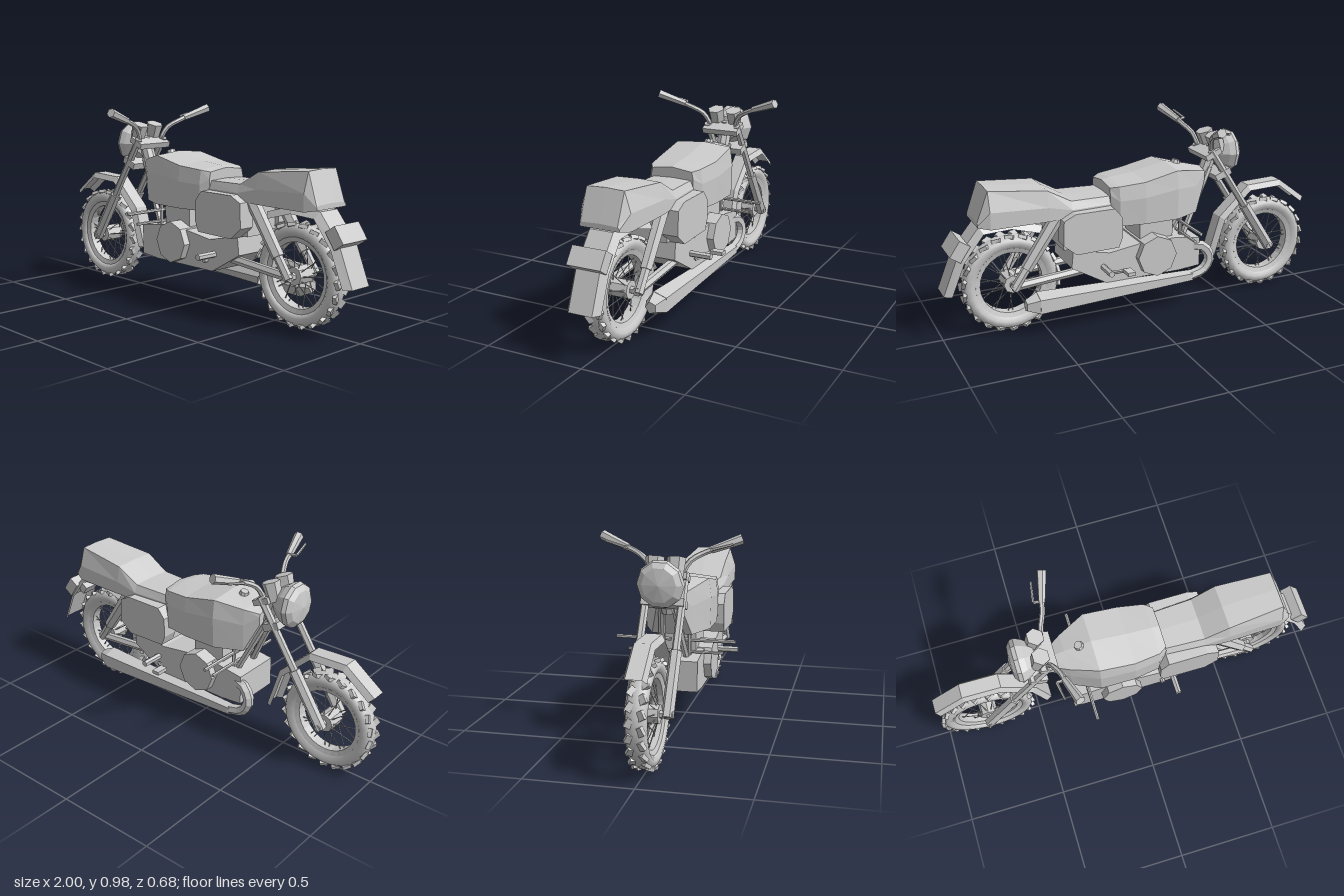
import * as THREE from 'three';

const V = (x, y, z) => new THREE.Vector3(x, y, z);
const flat = new THREE.MeshStandardMaterial({ color: 0xcccccc, flatShading: true });
const thin = new THREE.MeshStandardMaterial({ color: 0xcccccc, flatShading: true, side: THREE.DoubleSide });
const smooth = new THREE.MeshStandardMaterial({ color: 0xcccccc });

function add(parent, name, geo, mat = flat) {
  const m = new THREE.Mesh(geo, mat);
  m.name = name;
  parent.add(m);
  return m;
}

// Straight bar between two points
function rod(parent, name, a, b, r1, r2 = r1, sides = 6) {
  const m = add(parent, name, new THREE.CylinderGeometry(r2, r1, a.distanceTo(b), sides));
  m.position.copy(a).lerp(b, 0.5);
  m.quaternion.setFromUnitVectors(V(0, 1, 0), b.clone().sub(a).normalize());
  return m;
}

function box(parent, name, x, y, z, w, h, d, tilt = 0) {
  const m = add(parent, name, new THREE.BoxGeometry(w, h, d));
  m.position.set(x, y, z);
  m.rotation.z = tilt;
  return m;
}

// Side outline [x, y] extruded from z0 to z1
function slab(parent, name, pts, z0, z1) {
  const g = new THREE.ExtrudeGeometry(new THREE.Shape(pts.map(p => new THREE.Vector2(...p))),
    { depth: z1 - z0, bevelEnabled: false });
  return add(parent, name, g.translate(0, 0, z0));
}

// Symmetric skin over sections along x; each is { x, half: [[z, y], ...] } from top to bottom
function loft(parent, name, sections) {
  const pos = [], idx = [];
  const loops = sections.map(s => [...s.half, ...s.half.slice(1, -1).reverse().map(([z, y]) => [-z, y])]
    .map(([z, y]) => [s.x, y, z]));
  const n = loops[0].length;
  loops.forEach(l => l.forEach(p => pos.push(...p)));
  for (let i = 0; i < loops.length - 1; i++) for (let j = 0; j < n; j++) {
    const a = i * n + j, b = i * n + (j + 1) % n;
    idx.push(a, b, b + n, a, b + n, a + n);
  }
  const e = (loops.length - 1) * n;
  for (let j = 1; j < n - 1; j++) idx.push(0, j + 1, j, e, e + j, e + j + 1);
  const g = new THREE.BufferGeometry();
  g.setAttribute('position', new THREE.Float32BufferAttribute(pos, 3));
  g.setIndex(idx);
  g.computeVertexNormals();
  return add(parent, name, g);
}

// Channel-shaped mudguard along a path of [x, y], skirts dropping towards the wheel centre
function mudguard(parent, name, path, w, drop, cx, cy) {
  const pos = [], idx = [];
  path.forEach(([x, y]) => {
    const l = Math.hypot(cx - x, cy - y), dx = (cx - x) / l * drop, dy = (cy - y) / l * drop;
    pos.push(x + dx, y + dy, w, x, y, w * 0.7, x, y, -w * 0.7, x + dx, y + dy, -w);
  });
  for (let i = 0; i < path.length - 1; i++) for (let j = 0; j < 3; j++) {
    const a = i * 4 + j;
    idx.push(a, a + 4, a + 5, a, a + 5, a + 1);
  }
  const g = new THREE.BufferGeometry();
  g.setAttribute('position', new THREE.Float32BufferAttribute(pos, 3));
  g.setIndex(idx);
  g.computeVertexNormals();
  add(parent, name, g, thin);
}

function wheel(name, x) {
  const w = new THREE.Group();
  w.name = name;
  w.position.set(x, 0.247, 0);
  const lathe = (n, pts, mat) => add(w, n, new THREE.LatheGeometry(pts.map(p => new THREE.Vector2(...p)), 28)
    .rotateX(Math.PI / 2), mat);
  lathe('tyre', [[0.178, -0.032], [0.2, -0.046], [0.222, -0.044], [0.236, -0.028], [0.241, 0],
    [0.236, 0.028], [0.222, 0.044], [0.2, 0.046], [0.178, 0.032], [0.178, -0.032]], smooth);
  lathe('rim', [[0.156, -0.026], [0.18, -0.034], [0.18, 0.034], [0.156, 0.026], [0.156, -0.026]], flat);
  // Slanted tread blocks and spokes
  for (let i = 0; i < 22; i++) for (const s of [1, -1]) {
    const a = (i + (s > 0 ? 0 : 0.5)) / 22 * Math.PI * 2;
    const arm = new THREE.Group();
    arm.name = 'treadArm';
    arm.rotation.z = a;
    w.add(arm);
    const block = box(arm, 'treadBlock', 0.233, 0, s * 0.025, 0.018, 0.04, 0.034);
    block.rotation.set(s * 0.5, s * 0.4, 0);
    if (i % 2 === 0)
      rod(w, 'spoke', V(Math.cos(a) * 0.03, Math.sin(a) * 0.03, s * 0.04),
        V(Math.cos(a + 0.1) * 0.16, Math.sin(a + 0.1) * 0.16, 0), 0.0025, 0.0025, 4);
  }
  rod(w, 'hub', V(0, 0, -0.05), V(0, 0, 0.05), 0.045, 0.045, 8);
  rod(w, 'axle', V(0, 0, -0.11), V(0, 0, 0.11), 0.018);
  return w;
}

export function createModel() {
  const bike = new THREE.Group();
  bike.name = 'motorcycle';
  bike.add(wheel('frontWheel', -0.757), wheel('rearWheel', 0.655));

  // Mudguards and tail lamp
  mudguard(bike, 'frontMudguard', [[-1, 0.47], [-0.845, 0.585], [-0.65, 0.578], [-0.485, 0.425], [-0.42, 0.215]],
    0.052, 0.03, -0.757, 0.247);
  mudguard(bike, 'rearMudguard', [[0.5, 0.53], [0.66, 0.575], [0.81, 0.565], [0.92, 0.43], [0.995, 0.245]],
    0.085, 0.035, 0.655, 0.247);
  box(bike, 'tailLamp', 0.91, 0.465, 0, 0.06, 0.09, 0.17, 0.6);
  box(bike, 'lampBracket', 0.87, 0.46, 0, 0.06, 0.05, 0.08, 0.6);

  // Fuel tank: [x, top, bottom, half width]
  loft(bike, 'fuelTank', [[-0.375, 0.71, 0.64, 0.06], [-0.31, 0.727, 0.495, 0.1], [-0.175, 0.757, 0.495, 0.163],
    [0, 0.72, 0.495, 0.165], [0.13, 0.708, 0.495, 0.145], [0.17, 0.7, 0.58, 0.115]].map(([x, t, b, w]) => ({
    x, half: [[0, t], [w * 0.93, t - 0.014], [w, t - (t - b) * 0.4], [w * 0.97, b], [0, b]] })));
  rod(bike, 'fuelCap', V(-0.235, 0.74, 0), V(-0.24, 0.757, 0), 0.025, 0.02, 8);

  // Seat: [x, top, bottom, half width at top, half width at bottom]
  loft(bike, 'seat', [[0.16, 0.648, 0.575, 0.1, 0.115], [0.37, 0.652, 0.572, 0.11, 0.128], [0.49, 0.72, 0.568, 0.115, 0.132],
    [0.77, 0.747, 0.565, 0.095, 0.125], [0.825, 0.6, 0.575, 0.09, 0.1]].map(([x, t, b, wt, wb]) => ({
    x, half: [[0, t], [wt, t - 0.004], [wb, t - (t - b) * 0.55], [wb, b], [0, b]] })));

  // Engine
  slab(bike, 'crankcase', [[-0.32, 0.215], [-0.2, 0.205], [0.2, 0.205], [0.38, 0.31], [0.37, 0.4], [0.18, 0.36],
    [0, 0.385], [-0.18, 0.385], [-0.32, 0.365]], -0.125, 0.125);
  box(bike, 'cylinderBlock', -0.09, 0.44, 0, 0.18, 0.16, 0.18);
  box(bike, 'battery', 0.28, 0.5, 0, 0.26, 0.2, 0.2);
  rod(bike, 'engineCover', V(-0.065, 0.315, -0.162), V(-0.065, 0.315, 0.162), 0.105, 0.105, 8);

  // Exhaust on the right side
  const bend = new THREE.CatmullRomCurve3([V(-0.28, 0.32, -0.1), V(-0.345, 0.31, -0.12), V(-0.375, 0.25, -0.13),
    V(-0.34, 0.19, -0.13), V(-0.26, 0.165, -0.13)]);
  add(bike, 'exhaustHeader', new THREE.TubeGeometry(bend, 10, 0.027, 6));
  rod(bike, 'silencer', V(-0.27, 0.165, -0.13), V(0.56, 0.16, -0.13), 0.03, 0.06, 5);
  rod(bike, 'silencerTip', V(0.56, 0.16, -0.13), V(0.62, 0.16, -0.13), 0.058, 0.03, 5);

  // Steering column, lamp and yokes
  rod(bike, 'steeringHead', V(-0.38, 0.62, 0), V(-0.45, 0.8, 0), 0.035, 0.035, 8);
  box(bike, 'lowerYoke', -0.465, 0.675, 0, 0.09, 0.035, 0.2, -0.4);
  box(bike, 'upperYoke', -0.405, 0.785, 0, 0.09, 0.03, 0.2, -0.4);
  const lamp = add(bike, 'headlamp', new THREE.LatheGeometry([[0, -0.085], [0.065, -0.07], [0.1, -0.02], [0.112, 0.01],
    [0.105, 0.03], [0.08, 0.048], [0, 0.06]].map(p => new THREE.Vector2(...p)), 10));
  lamp.rotation.z = Math.PI / 2;
  lamp.position.set(-0.52, 0.775, 0);

  // Paired parts on the left (+z) and right (-z)
  for (const s of [1, -1]) {
    const side = new THREE.Group();
    side.name = s > 0 ? 'leftSide' : 'rightSide';
    bike.add(side);
    const P = (x, y, z) => V(x, y, z * s);
    const span = (a, b) => s > 0 ? [a, b] : [-b, -a];

    // Fork
    rod(side, 'forkSlider', P(-0.765, 0.235, 0.085), P(-0.6, 0.49, 0.085), 0.028, 0.028, 6);
    rod(side, 'forkTube', P(-0.6, 0.49, 0.085), P(-0.395, 0.805, 0.085), 0.019, 0.019, 6);
    rod(side, 'gauge', P(-0.455, 0.79, 0.05), P(-0.425, 0.88, 0.05), 0.035, 0.045, 6);

    // Handlebar, grip and lever
    const bar = new THREE.CatmullRomCurve3([P(-0.42, 0.765, 0.075), P(-0.4, 0.81, 0.077), P(-0.385, 0.86, 0.105),
      P(-0.36, 0.893, 0.16), P(-0.352, 0.908, 0.2)]);
    add(side, 'handlebar', new THREE.TubeGeometry(bar, 8, 0.013, 6));
    rod(side, 'grip', P(-0.352, 0.908, 0.195), P(-0.312, 0.957, 0.332), 0.017, 0.024, 6);
    rod(side, 'leverMount', P(-0.352, 0.908, 0.2), P(-0.39, 0.915, 0.205), 0.008);
    rod(side, 'lever', P(-0.39, 0.915, 0.205), P(-0.375, 0.94, 0.3), 0.007, 0.006);

    // Frame, swingarm and suspension
    rod(side, 'downTube', P(-0.42, 0.7, 0.025), P(-0.25, 0.36, 0.06), 0.016);
    rod(side, 'swingArm', P(0.28, 0.28, 0.085), P(0.67, 0.247, 0.085), 0.022);
    rod(side, 'shockAbsorber', P(0.44, 0.57, 0.095), P(0.6, 0.335, 0.095), 0.034, 0.03, 6);
    rod(side, 'shockRod', P(0.6, 0.335, 0.095), P(0.665, 0.24, 0.095), 0.022);

    // Side panel
    slab(side, 'sidePanel', [[0.13, 0.45], [0.15, 0.4], [0.37, 0.395], [0.435, 0.45], [0.43, 0.57], [0.37, 0.6],
      [0.17, 0.6], [0.13, 0.55]], ...span(0.09, 0.172));

    // Crash bars and footrests
    rod(side, 'upperBar', P(-0.235, 0.45, 0.02), P(-0.235, 0.45, 0.295), 0.009);
    rod(side, 'lowerBar', P(-0.235, 0.392, 0.02), P(-0.235, 0.392, 0.235), 0.008);
    rod(side, 'barStrut', P(-0.235, 0.37, 0.07), P(-0.235, 0.49, 0.07), 0.01);
    rod(side, 'footrest', P(0.215, 0.292, 0.1), P(0.215, 0.292, 0.235), 0.016);
  }

  // Foot controls
  rod(bike, 'brakePedalArm', V(0.2, 0.26, -0.14), V(0.12, 0.285, -0.2), 0.01);
  box(bike, 'brakePedal', 0.12, 0.285, -0.225, 0.04, 0.018, 0.065);
  rod(bike, 'gearShaft', V(0.16, 0.255, 0.1), V(0.16, 0.255, 0.145), 0.012);
  return bike;
}
